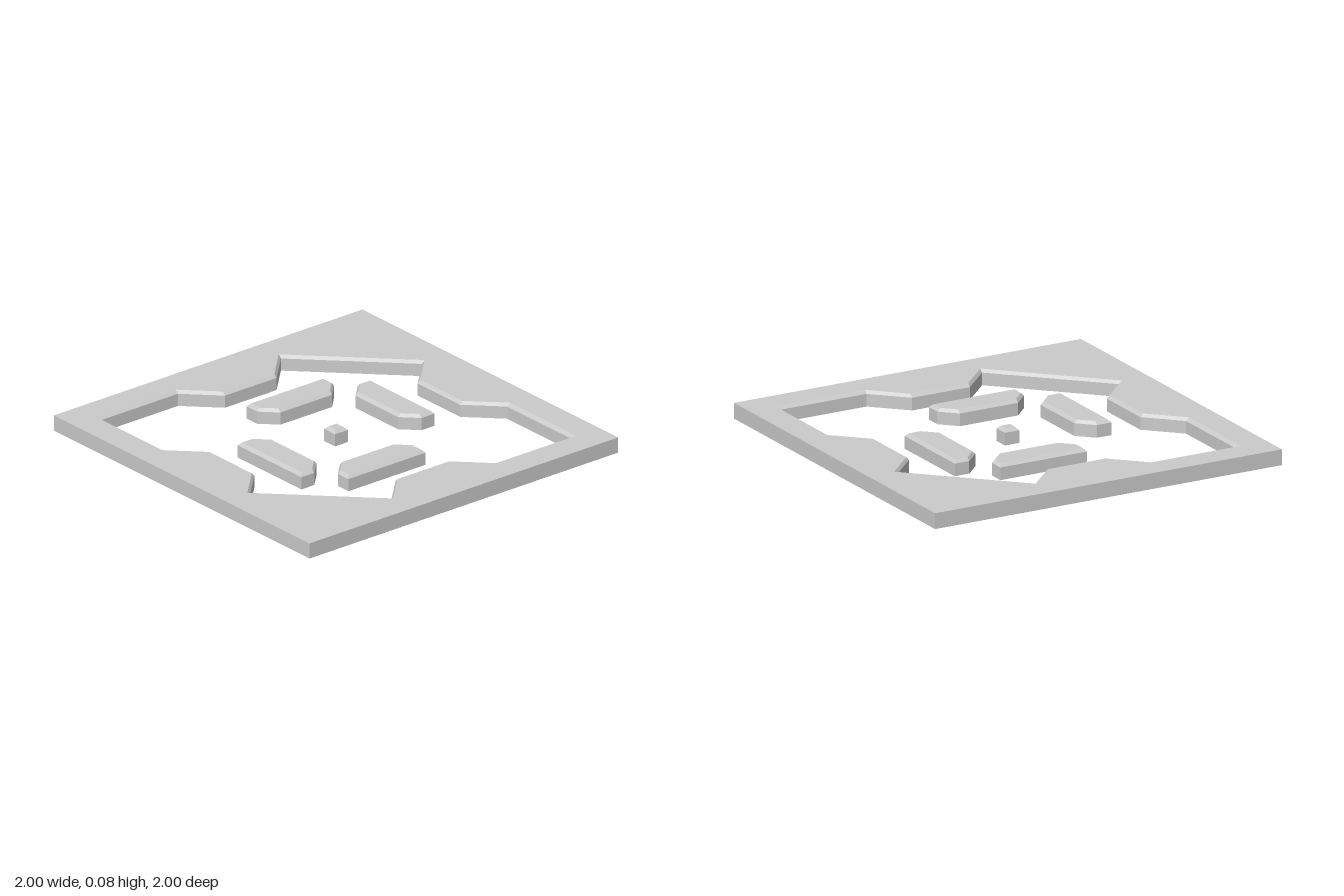
import * as THREE from 'three';
import { mergeGeometries } from 'three/addons/utils/BufferGeometryUtils.js';

const U = 1 / 6;        // layout grid step
const H = 0.0833;       // total height
const BEVEL = 0.0167;   // bevel width and height

const material = new THREE.MeshStandardMaterial({
  color: 0xcccccc, flatShading: true, side: THREE.DoubleSide,
});

// Plan outlines are lists of [x, z]; plan space uses y = -z.
const toPlan = (pts) => pts.map(([x, z]) => new THREE.Vector2(x, -z));

// Wall strip between two matching outlines; faces outward, or inward for a hole.
function wall(lower, y0, upper, y1, inward = false) {
  let a = toPlan(lower), b = toPlan(upper);
  if ((THREE.ShapeUtils.area(a) > 0) === inward) { a.reverse(); b.reverse(); }
  const pos = [];
  const put = (p, y) => pos.push(p.x, y, -p.y);
  for (let i = 0; i < a.length; i++) {
    const j = (i + 1) % a.length;
    put(a[i], y0); put(a[j], y0); put(b[j], y1);
    put(a[i], y0); put(b[j], y1); put(b[i], y1);
  }
  const g = new THREE.BufferGeometry();
  g.setAttribute('position', new THREE.Float32BufferAttribute(pos, 3));
  g.computeVertexNormals();
  return g;
}

// Flat upward face at the top, with an optional opening.
function cap(outline, hole) {
  const shape = new THREE.Shape(toPlan(outline));
  if (hole) shape.holes.push(new THREE.Path(toPlan(hole)));
  const g = new THREE.ShapeGeometry(shape).toNonIndexed();
  g.deleteAttribute('uv');
  return g.rotateX(-Math.PI / 2).translate(0, H, 0);
}

function addPart(group, name, geometries) {
  const mesh = new THREE.Mesh(mergeGeometries(geometries), material);
  mesh.name = name;
  group.add(mesh);
}

// Raised block, open underneath, with a bevelled top edge.
function addBlock(group, name, base, top) {
  addPart(group, name, [
    wall(base, 0, base, H - BEVEL),
    wall(base, H - BEVEL, top, H),
    cap(top),
  ]);
}

export function createModel() {
  const group = new THREE.Group();
  group.name = 'arenaTile';
  const turn = (pts) => pts.map(([x, z]) => [-x, -z]);

  // Square border with a notched, bevelled opening (second half is a half turn)
  const half = [
    [-2, -5], [-1, -4], [1, -4], [2, -5], [5, -5],
    [5, -2], [4, -1], [4, 1], [5, 2],
  ].map((p) => p.map((v) => v * U));
  const opening = [...half, ...turn(half)];
  const grow = (v) => (Math.abs(v) > 0.5 ? v + Math.sign(v) * BEVEL : v);
  const rim = opening.map((p) => p.map(grow));
  const square = (s) => [[-s, -s], [s, -s], [s, s], [-s, s]];
  addPart(group, 'border', [
    wall(square(1), 0, square(1), H),
    wall(opening, 0, opening, H - BEVEL, true),
    wall(opening, H - BEVEL, rim, H, true),
    cap(square(1), rim),
  ]);

  // Four barriers with two chamfered corners facing the middle
  const barrier = (b) => [
    [-2 * U + b, -3 * U + b], [U - b, -3 * U + b], [U - b, -2.5 * U],
    [0.5 * U, -2 * U - b], [-1.5 * U, -2 * U - b], [-2 * U + b, -2.5 * U],
  ];
  const swap = (pts) => pts.map(([x, z]) => [z, x]);
  const placements = {
    barrierBack: (p) => p,
    barrierFront: turn,
    barrierRight: swap,
    barrierLeft: (p) => turn(swap(p)),
  };
  for (const [name, place] of Object.entries(placements)) {
    addBlock(group, name, place(barrier(0)), place(barrier(BEVEL)));
  }

  // Small post in the middle
  addBlock(group, 'centrePost', square(U / 4), square(U / 4 - BEVEL));
  return group;
}
